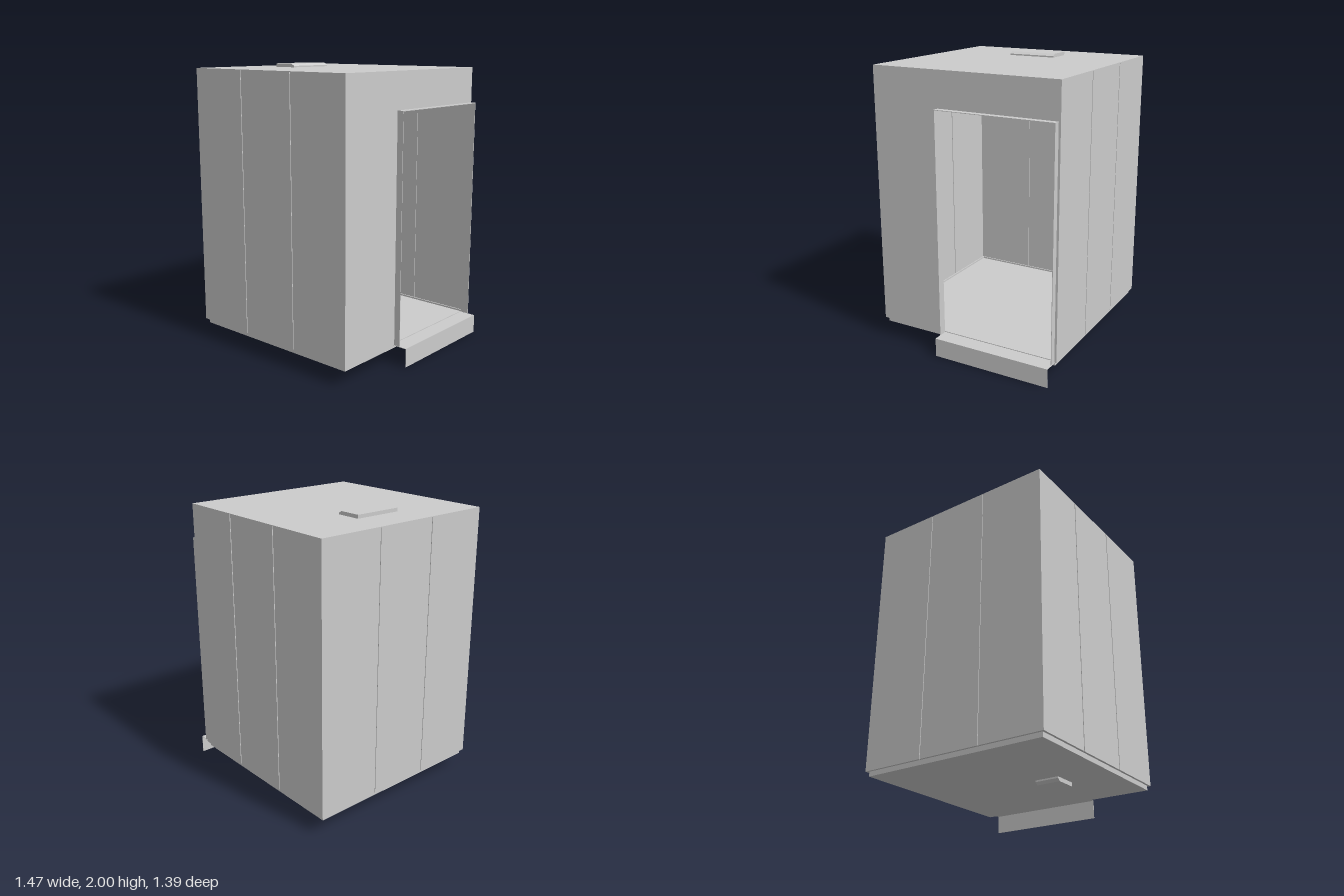
import * as THREE from 'three';

const material = new THREE.MeshStandardMaterial({ color: 0xcccccc, flatShading: true, side: THREE.DoubleSide });

// Cabin extents, door opening and sheet thickness
const X0 = -0.735, X1 = 0.635, Z = 0.695, Y0 = 0.135, Y1 = 1.975, T = 0.012;
const DOOR = { z0: -0.68, z1: 0.185, top: 1.725, out: 0.68 };
const SEAM = 0.008;

// Box given by its low and high corners
function box(parent, name, [x0, y0, z0], [x1, y1, z1]) {
  const mesh = new THREE.Mesh(new THREE.BoxGeometry(x1 - x0, y1 - y0, z1 - z0), material);
  mesh.position.set((x0 + x1) / 2, (y0 + y1) / 2, (z0 + z1) / 2);
  mesh.name = name;
  parent.add(mesh);
  return mesh;
}

// Wall of three equal panels along local x, with recessed strips in the seams
function panelWall(name, width) {
  const wall = new THREE.Group();
  wall.name = name;
  const step = width / 3;
  for (let i = 0; i < 3; i++) {
    const a = -width / 2 + i * step + (i > 0 ? SEAM / 2 : 0);
    const b = -width / 2 + (i + 1) * step - (i < 2 ? SEAM / 2 : 0);
    box(wall, 'wallPanel', [a, Y0, -T / 2], [b, Y1 - 0.004, T / 2]);
    if (i > 0) {
      const s = -width / 2 + i * step;
      box(wall, 'seamStrip', [s - SEAM / 2, Y0, -0.001], [s + SEAM / 2, Y1 - 0.004, 0.001]);
    }
  }
  return wall;
}

// Low housing with one sloped edge at +x, standing on y = 0
function housing(name, width, height, depth, slope) {
  const w = width / 2;
  const shape = new THREE.Shape([
    new THREE.Vector2(-w, 0), new THREE.Vector2(w, 0), new THREE.Vector2(w, height * 0.4),
    new THREE.Vector2(w - slope, height), new THREE.Vector2(-w, height),
  ]);
  const geometry = new THREE.ExtrudeGeometry(shape, { depth, bevelEnabled: false });
  geometry.translate(0, 0, -depth / 2);
  const mesh = new THREE.Mesh(geometry, material);
  mesh.name = name;
  return mesh;
}

export function createModel() {
  const model = new THREE.Group();
  model.name = 'cabin';

  // Panelled walls: front, back and the side facing the door
  for (const side of [1, -1]) {
    const wall = panelWall(side > 0 ? 'frontWall' : 'backWall', X1 - X0);
    wall.position.set((X0 + X1) / 2, 0, side * (Z - T / 2));
    model.add(wall);
  }
  const sideWall = panelWall('sideWall', 2 * (Z - T));
  sideWall.rotation.y = Math.PI / 2;
  sideWall.position.x = X0 + T / 2;
  model.add(sideWall);

  // Plain wall around the doorway
  const doorWall = new THREE.Group();
  doorWall.name = 'doorWall';
  model.add(doorWall);
  const inner = X1 - T;
  box(doorWall, 'doorWallPanel', [inner, Y0, DOOR.z1], [X1, Y1 - 0.004, Z - T]);
  box(doorWall, 'doorHeader', [inner, DOOR.top, DOOR.z0], [X1, Y1 - 0.004, DOOR.z1]);
  box(doorWall, 'doorWallEdge', [inner, Y0, -Z + T], [X1, Y1 - 0.004, DOOR.z0]);

  // Projecting sheet frame of the doorway
  const frame = new THREE.Group();
  frame.name = 'doorFrame';
  model.add(frame);
  const t = 0.004;
  box(frame, 'frameJamb', [inner, Y0, DOOR.z1 - t], [DOOR.out, DOOR.top, DOOR.z1]);
  box(frame, 'frameJamb', [inner, Y0, DOOR.z0], [DOOR.out, DOOR.top, DOOR.z0 + t]);
  box(frame, 'frameHead', [inner, DOOR.top - t, DOOR.z0], [DOOR.out, DOOR.top, DOOR.z1]);

  // Door sill with a hanging apron
  box(model, 'sill', [0.615, 0.13, DOOR.z0], [0.735, 0.133, DOOR.z1]);
  box(model, 'apron', [0.732, 0, DOOR.z0], [0.735, 0.13, DOOR.z1]);

  // Roof sheet and recessed floor tray
  box(model, 'roof', [X0, Y1 - 0.004, -Z], [X1, Y1, Z]);
  box(model, 'floor', [-0.717, 0.103, -0.677], [0.617, 0.138, 0.677]);

  // Skirting along the inside of the panelled walls
  for (const side of [1, -1]) {
    const z = side * 0.6785;
    box(model, 'skirting', [X0 + T, 0.136, z - 0.0045], [inner, 0.15, z + 0.0045]);
  }
  box(model, 'skirting', [X0 + T, 0.136, -0.67], [X0 + T + 0.008, 0.15, 0.67]);

  // Roof housing, and a smaller one hung under the floor
  const roofHousing = housing('roofHousing', 0.18, 2 - Y1, 0.35, 0.025);
  roofHousing.position.set(-0.39, Y1, -0.005);
  model.add(roofHousing);
  const floorHousing = housing('floorHousing', 0.175, 0.028, 0.175, 0.022);
  floorHousing.rotation.z = Math.PI;
  floorHousing.position.set(0.065, 0.103, 0.258);
  model.add(floorHousing);

  return model;
}
